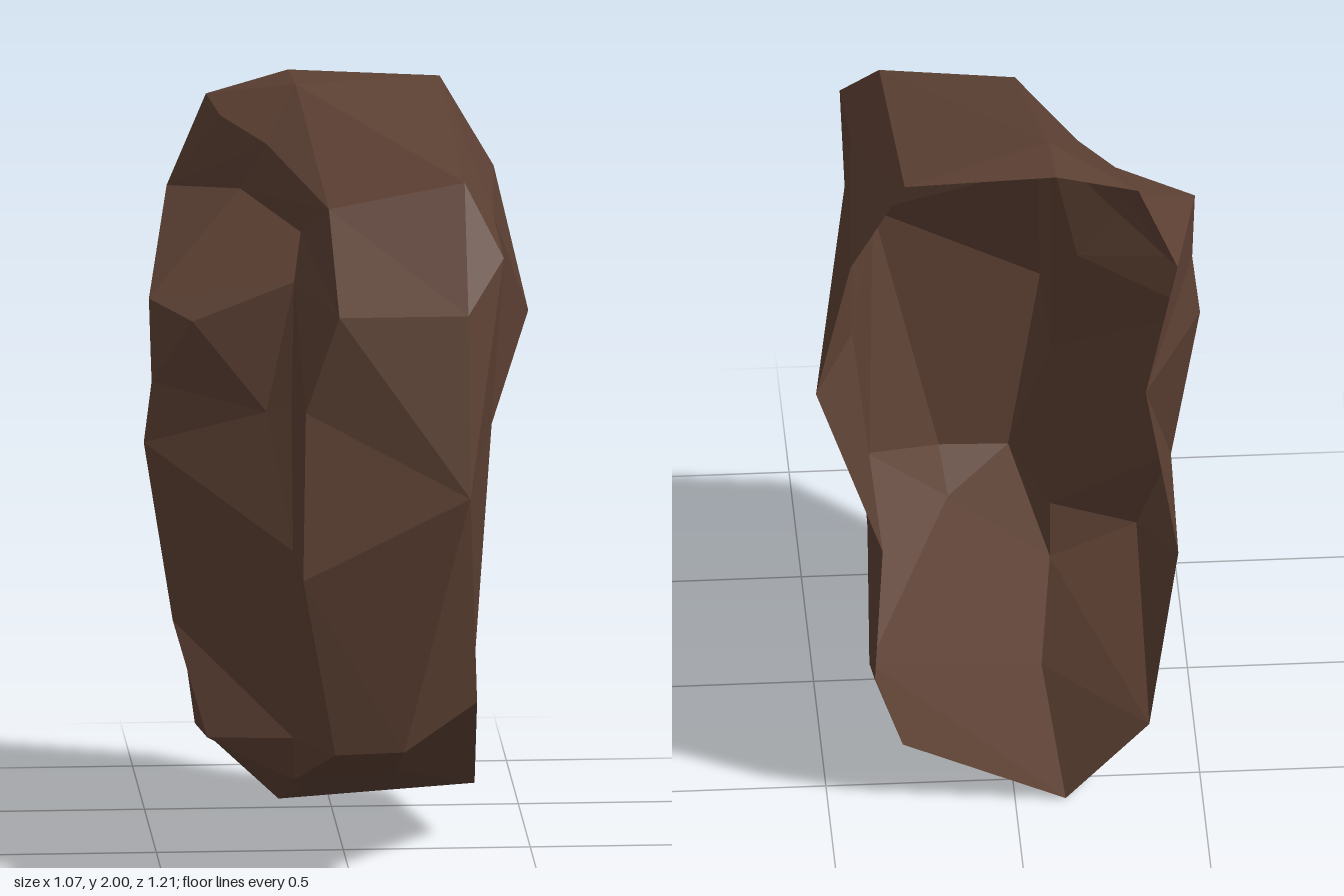
import * as THREE from 'three';

const pt = (x, y, z) => new THREE.Vector3(x, y, z);

// Skins two lines of points; a repeated point turns a quad into a triangle.
function strip(a, b) {
  const out = [];
  const tri = (p, q, r) => {
    if (p !== q && q !== r && p !== r) out.push(p, q, r);
  };
  for (let i = 0; i < a.length - 1; i++) {
    tri(a[i], a[i + 1], b[i + 1]);
    tri(a[i], b[i + 1], b[i]);
  }
  return out;
}

export function createModel() {
  const rock = new THREE.MeshStandardMaterial({ color: 0x5c4033, flatShading: true, side: THREE.DoubleSide });
  rock.name = 'brownRock';
  const group = new THREE.Group();
  group.name = 'rock';

  const add = (name, ...strips) => {
    const geometry = new THREE.BufferGeometry().setFromPoints(strips.flat());
    geometry.computeVertexNormals();
    const mesh = new THREE.Mesh(geometry, rock);
    mesh.name = name;
    group.add(mesh);
  };

  // Main ridge, right edge: back top, over the front, back along the bottom
  const [topBack, topBend, brow, belly, toe, toeUnder, heel, heelBack] = [
    pt(0.295, 1.98, -0.59), pt(0.315, 1.86, 0.15), pt(0.305, 1.57, 0.47), pt(0.302, 1.1, 0.605),
    pt(0.13, 0.39, 0.53), pt(0.115, 0.31, 0.4), pt(0.36, 0.145, -0.14), pt(0.3, 0.185, -0.59)];

  // Main ridge, left edge
  const [peakBack, peak, edgeTop, edgeBrow, edgeMid, edgeBelly, edgeToe, notch, keel, keelBack] = [
    pt(-0.11, 2, -0.6), pt(-0.1, 2, -0.43), pt(-0.05, 1.8, 0.18), pt(-0.04, 1.57, 0.47), pt(-0.13, 1.31, 0.47),
    pt(-0.145, 0.88, 0.6), pt(-0.055, 0.385, 0.53), pt(-0.145, 0.24, 0.2), pt(-0.1, 0.13, -0.15), pt(-0.135, 0, -0.6)];
  const [slopeBack, slopeMid, slope] = [pt(-0.33, 1.94, -0.59), pt(-0.3, 1.91, -0.46), pt(-0.19, 1.88, -0.25)];

  // Flank: shoulder, inner bulges and open back rim
  const [shoulderBack, shoulder, shoulderFront, knee] = [
    pt(0.44, 1.73, -0.595), pt(0.4, 1.74, 0), pt(0.41, 1.69, 0.31), pt(0.335, 0.485, 0.36)];
  const [hip, waist] = [pt(0.4, 1.15, -0.05), pt(0.36, 0.52, -0.1)];
  const [rimHigh, rimMid, rimLow] = [pt(0.533, 1.33, -0.6), pt(0.355, 0.82, -0.607), pt(0.375, 0.4, -0.595)];

  // Gully between ridge and side lobe, top to bottom
  const [gullyTop, gullyBend, gullyBrow, gullyMid, gullyLow, gullyToe] = [
    pt(-0.255, 1.74, -0.33), pt(-0.115, 1.7, 0.015), pt(-0.14, 1.59, 0.13),
    pt(-0.15, 1.26, 0.18), pt(-0.15, 0.88, 0.25), pt(-0.15, 0.37, 0.26)];

  // Side lobe, outer edge, hollow in its front, and open back rim
  const [lobeBack, lobeTop, lobeBrow, lobeDent, lobeBelly, lobeLow, lobeToe, lobeHeel] = [
    pt(-0.435, 1.69, -0.59), pt(-0.52, 1.52, 0), pt(-0.41, 1.48, 0.105), pt(-0.515, 1.3, 0.035),
    pt(-0.535, 1.13, 0.02), pt(-0.46, 0.65, 0.06), pt(-0.375, 0.355, 0.175), pt(-0.36, 0.215, -0.58)];
  const lobeHollow = pt(-0.215, 1.24, 0.15);
  const [lobeRimHigh, lobeRimLow] = [pt(-0.35, 1.29, -0.59), pt(-0.437, 0.77, -0.59)];

  add('ridgeCrest',
    strip([slopeBack, slopeMid, slope, edgeTop], [peakBack, peak, peak, edgeTop]),
    strip([peakBack, peak, edgeTop, edgeBrow, edgeMid, edgeBelly, edgeToe, notch],
      [topBack, topBack, topBend, brow, belly, belly, toe, toeUnder]));

  add('ridgeFlank',
    strip([topBack, topBend, topBend, brow, belly, toe, toeUnder, heel],
      [shoulderBack, shoulder, shoulderFront, shoulderFront, belly, knee, knee, heel]),
    strip([shoulderBack, shoulder, shoulder, shoulderFront, belly, knee, heel, heelBack],
      [rimHigh, rimHigh, hip, hip, hip, waist, waist, rimLow]),
    strip([rimHigh, hip, waist, rimLow], [rimHigh, rimMid, rimMid, rimLow]));

  add('gullyWall',
    strip([lobeBack, lobeBack, gullyTop, gullyBend, gullyBrow, gullyMid, gullyLow, gullyToe, notch],
      [slopeBack, slopeMid, slope, edgeTop, edgeBrow, edgeMid, edgeBelly, edgeToe, notch]));

  add('sideLobe',
    strip([lobeBack, lobeTop, lobeTop, lobeBrow, lobeDent, lobeBelly, lobeLow, lobeToe, lobeToe],
      [lobeBack, gullyTop, gullyBend, gullyBrow, lobeHollow, lobeHollow, gullyLow, gullyToe, notch]),
    strip([gullyBrow, lobeHollow, gullyLow], [gullyBrow, gullyMid, gullyLow]),
    strip([lobeTop, lobeDent], [lobeTop, lobeBrow]),
    strip([lobeBack, lobeRimHigh, lobeRimHigh, lobeRimHigh, lobeRimLow, lobeRimLow, lobeHeel],
      [lobeBack, lobeTop, lobeDent, lobeBelly, lobeLow, lobeToe, lobeHeel]));

  add('underside',
    strip([notch, keel, keelBack, keelBack], [toeUnder, heel, heel, heelBack]),
    strip([lobeHeel, lobeHeel, lobeHeel, lobeHeel], [lobeToe, notch, keel, keelBack]));

  return group;
}
